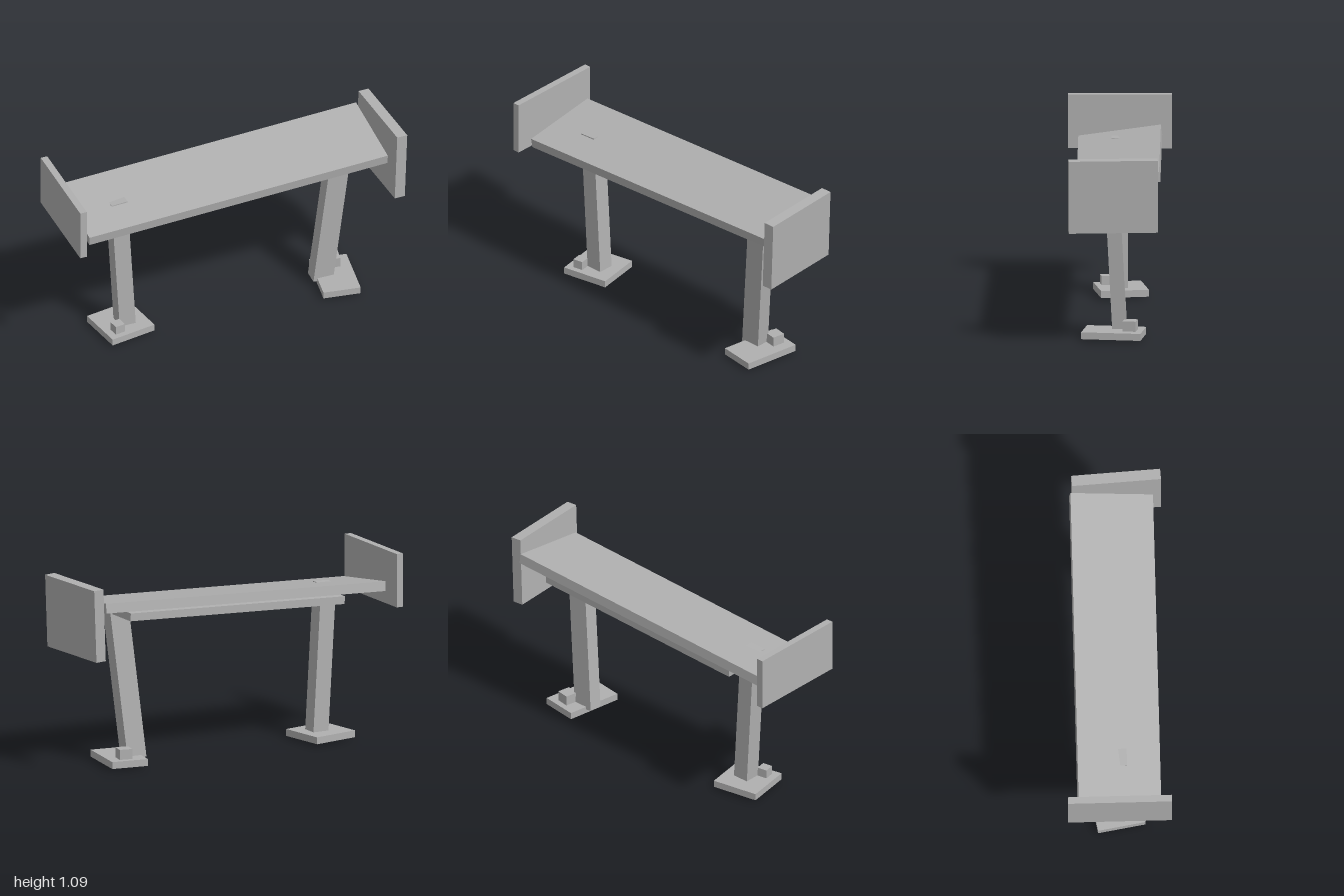
import * as THREE from 'three';

export function createModel() {
  const group = new THREE.Group();
  group.name = 'bench';
  const grey = new THREE.MeshStandardMaterial({ color: 0xb0b0b0 });
  grey.name = 'plain grey';

  // box given by size, centre and tilt (applied x, then y, then z)
  function box(name, size, centre, tilt = [0, 0, 0]) {
    const mesh = new THREE.Mesh(new THREE.BoxGeometry(...size), grey);
    mesh.name = name;
    mesh.position.set(...centre);
    mesh.rotation.set(...tilt, 'ZYX');
    group.add(mesh);
  }

  // box post running between the centres of its two ends
  function post(name, width, depth, from, to) {
    const a = new THREE.Vector3(...from), b = new THREE.Vector3(...to);
    const dir = b.clone().sub(a);
    const mesh = new THREE.Mesh(new THREE.BoxGeometry(width, dir.length(), depth), grey);
    mesh.name = name;
    mesh.position.copy(a).add(b).multiplyScalar(0.5);
    mesh.quaternion.setFromUnitVectors(new THREE.Vector3(0, 1, 0), dir.normalize());
    group.add(mesh);
  }

  // sloping seat slab and the board beneath it
  const slope = 0.0438;
  box('seat', [1.826, 0.056, 0.472], [-0.007, 0.905, -0.002], [0.136, 0, slope]);
  box('underBoard', [1.4, 0.045, 0.42], [0.03, 0.87, 0], [0, 0, slope]);

  // end panels
  box('rightPanel', [0.04, 0.31, 0.59], [-0.98, 0.935, 0]);
  box('leftPanel', [0.063, 0.418, 0.505], [0.953, 0.876, 0.028], [0, 0.06, -0.036]);

  // leaning legs; the right one comes up through the seat
  post('rightLeg', 0.098, 0.094, [-0.605, 0.003, 0], [-0.658, 0.904, 0]);
  post('leftLeg', 0.122, 0.083, [0.594, 0.03, -0.008], [0.686, 0.91, 0.037]);

  // turned foot plates with a small block on each
  box('rightFoot', [0.279, 0.04, 0.274], [-0.628, 0.031, -0.008], [0, 0.17, 0]);
  box('leftFoot', [0.217, 0.04, 0.339], [0.668, 0.031, 0.026], [0, -0.148, 0]);
  box('rightFootBlock', [0.06, 0.055, 0.06], [-0.682, 0.075, 0.077], [0, 0.17, 0]);
  box('leftFootBlock', [0.075, 0.06, 0.075], [0.692, 0.079, -0.068], [0, -0.18, 0]);

  return group;
}
